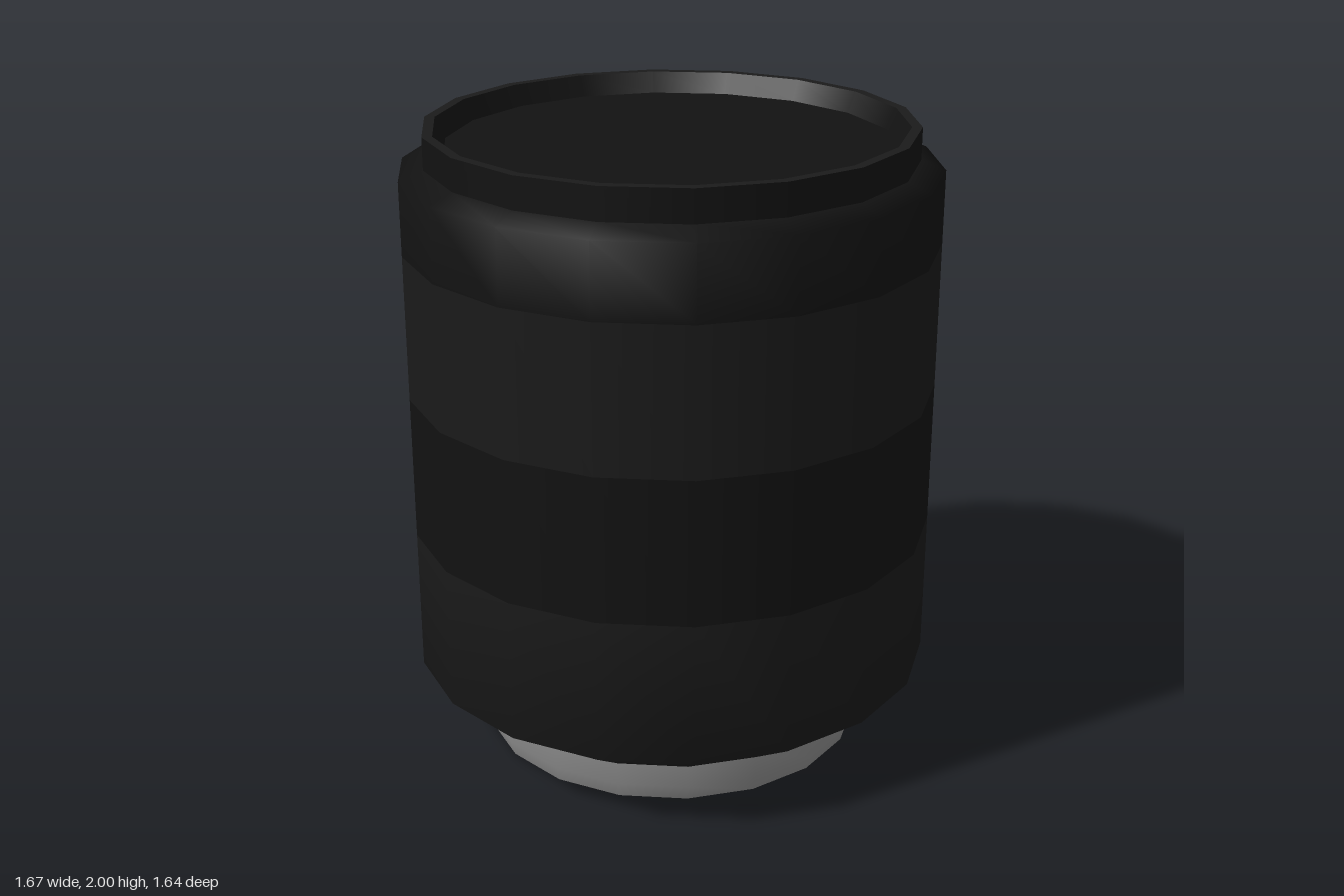
import * as THREE from 'three';

const SIDES = 18;
const black = new THREE.MeshStandardMaterial({ color: 0x121212 });
const rubber = new THREE.MeshStandardMaterial({ color: 0x1a1a1a });
const metal = new THREE.MeshStandardMaterial({ color: 0x8a8a8a });

// Turned part from [radius, height] pairs, with a corner pointing along +x
function turned(name, material, profile) {
  const points = profile.map(([r, y]) => new THREE.Vector2(r, y));
  const geometry = new THREE.LatheGeometry(points, SIDES, Math.PI / SIDES);
  const mesh = new THREE.Mesh(geometry, material);
  mesh.name = name;
  return mesh;
}

export function createModel() {
  const model = new THREE.Group();
  model.name = 'lensBarrel';

  // Barrel: alternating grip rings between two tapered ends
  model.add(
    turned('rearTaper', rubber, [[0.63, 0.125], [0.833, 0.26], [0.833, 0.72]]),
    turned('middleRing', black, [[0.833, 0.72], [0.833, 1.18]]),
    turned('gripRing', rubber, [[0.833, 1.18], [0.833, 1.64]]),
    turned('frontRing', black, [[0.833, 1.64], [0.833, 1.87], [0.757, 1.9]]),
  );

  // Front rim with a shallow recessed cap
  model.add(
    turned('rimWall', black, [[0.757, 1.9], [0.757, 2]]),
    turned('rimTop', rubber, [[0.757, 2], [0.725, 2]]),
    turned('rimInside', black, [[0.725, 2], [0.695, 1.935]]),
    turned('frontCap', black, [[0.695, 1.935], [0, 1.935]]),
  );

  // Metal mount with a recessed opening underneath
  model.add(
    turned('mountWall', metal, [[0.615, 0], [0.63, 0.05], [0.63, 0.125]]),
    turned('mountFace', metal, [[0.505, 0], [0.615, 0]]),
    turned('mountInside', metal, [[0.505, 0.065], [0.505, 0]]),
    turned('rearCap', black, [[0, 0.065], [0.505, 0.065]]),
  );
  return model;
}
